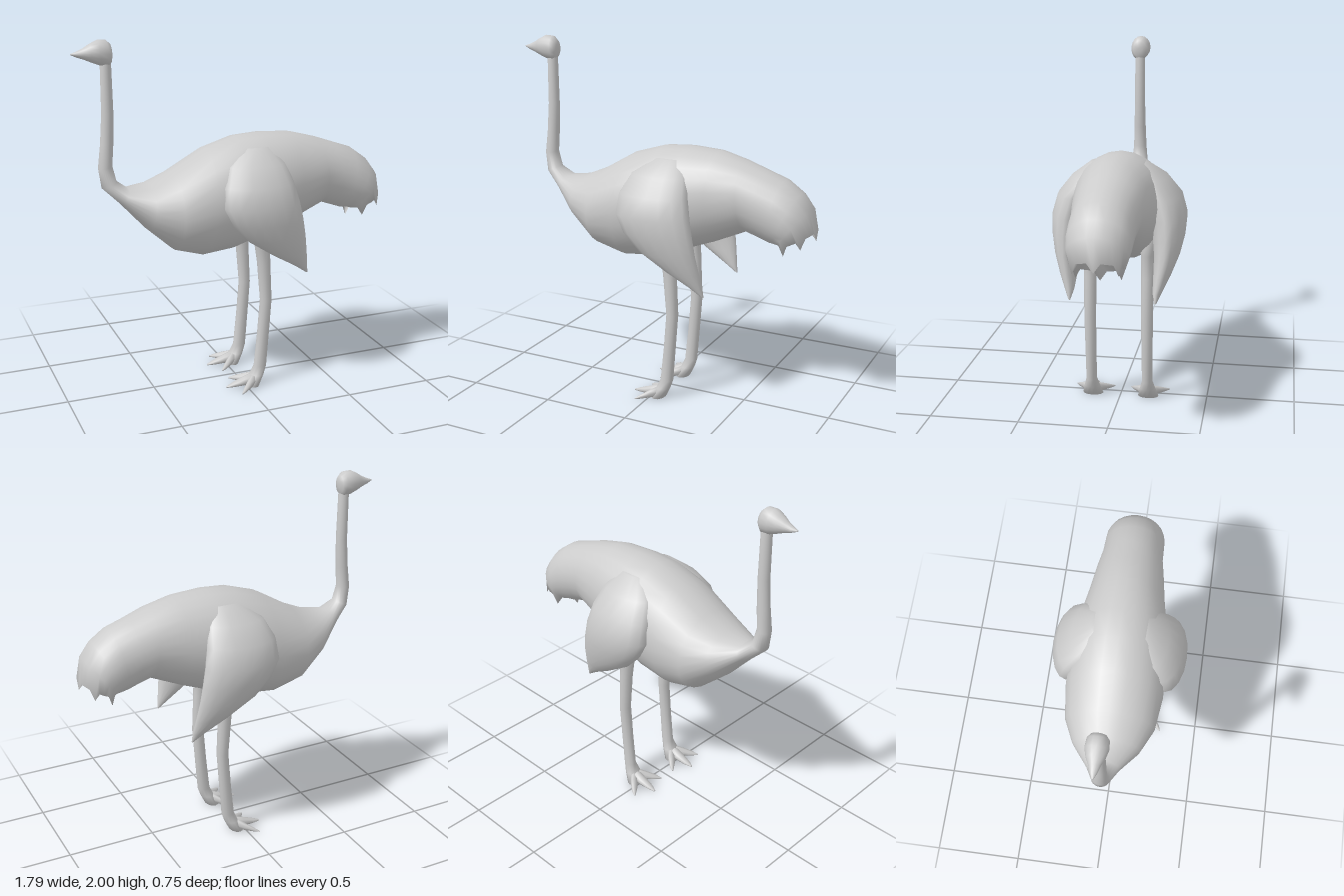
import * as THREE from 'three';

const material = new THREE.MeshStandardMaterial({ color: 0xcccccc, side: THREE.DoubleSide });

// Skin over oval rings. Each ring: [ax, ay, bx, by, halfWidthZ, centreZ, jagY],
// where a and b are opposite ends of the oval in the side plane.
function loft(name, rings, n = 16) {
  const pos = [], index = [];
  const centre = ([ax, ay, bx, by, , z = 0]) => [(ax + bx) / 2, (ay + by) / 2, z];
  for (const ring of rings) {
    const [ax, ay, bx, by, w, , jag = 0] = ring;
    const [cx, cy, cz] = centre(ring);
    for (let k = 0; k < n; k++) {
      const t = (k / n) * Math.PI * 2, c = Math.cos(t) / 2;
      pos.push(cx + c * (ax - bx), cy + c * (ay - by) + (k % 4 === 0 ? jag : 0), cz + Math.sin(t) * w);
    }
  }
  const last = rings.length - 1, start = rings.length * n, end = start + 1;
  pos.push(...centre(rings[0]), ...centre(rings[last]));
  for (let k = 0; k < n; k++) {
    const m = (k + 1) % n;
    index.push(start, m, k, end, last * n + k, last * n + m);
    for (let r = 0; r < last; r++) {
      const a = r * n + k, b = r * n + m;
      index.push(a, b, a + n, b, b + n, a + n);
    }
  }
  // Turn the faces outward whichever way the rings run
  let volume = 0;
  const p = (i) => new THREE.Vector3().fromArray(pos, i * 3);
  for (let i = 0; i < index.length; i += 3) {
    volume += p(index[i]).dot(p(index[i + 1]).cross(p(index[i + 2])));
  }
  if (volume < 0) index.reverse();
  const geometry = new THREE.BufferGeometry();
  geometry.setAttribute('position', new THREE.Float32BufferAttribute(pos, 3));
  geometry.setIndex(index);
  geometry.computeVertexNormals();
  const mesh = new THREE.Mesh(geometry, material);
  mesh.name = name;
  return mesh;
}

// One wing: horizontal slices given as [y, leading x, trailing x, inner z, outer z]
function makeWing(side) {
  const slices = [
    [1.39, 0.0, 0.16, 0.06, 0.16],
    [1.31, -0.11, 0.22, 0.1, 0.265],
    [1.21, -0.155, 0.25, 0.14, 0.345],
    [1.1, -0.165, 0.275, 0.17, 0.375],
    [1.0, -0.115, 0.295, 0.19, 0.368],
    [0.9, -0.02, 0.312, 0.205, 0.345],
    [0.8, 0.13, 0.328, 0.21, 0.305],
    [0.72, 0.265, 0.34, 0.215, 0.265],
    [0.67, 0.338, 0.346, 0.23, 0.24],
  ];
  return loft('wing', slices.map(([y, lead, trail, inner, outer]) =>
    [lead, y, trail, y, (outer - inner) / 2, side * (inner + outer) / 2]));
}

// One leg with its foot and three spread toes
function makeLeg(side) {
  const group = new THREE.Group();
  group.name = 'leg';
  const z = 0.162 * side;
  group.add(loft('shank', [
    [0.02, 1.0, 0.17, 1.0, 0.06, z],
    [0.05, 0.87, 0.143, 0.87, 0.04, z],
    [0.07, 0.74, 0.147, 0.74, 0.036, z],
    [0.09, 0.51, 0.157, 0.51, 0.034, z],
    [0.073, 0.3, 0.142, 0.3, 0.032, z],
    [0.053, 0.11, 0.128, 0.11, 0.031, z],
    [0.03, 0.06, 0.11, 0.06, 0.045, z],
    [0.0, 0.0, 0.08, 0.0, 0.06, z],
  ], 12));
  for (const [tipX, spread] of [[-0.115, 0], [-0.06, 0.11], [-0.06, -0.11]]) {
    const toe = [[0, 0.075, 0.034], [0.4, 0.05, 0.03], [0.75, 0.026, 0.022], [1, 0.008, 0.006]];
    group.add(loft('toe', toe.map(([t, h, w]) => {
      const x = THREE.MathUtils.lerp(0.06, tipX, t);
      return [x, h, x, 0, w, z + spread * t];
    }), 8));
  }
  return group;
}

export function createModel() {
  const model = new THREE.Group();
  model.name = 'bird';

  // Neck, trunk and drooping tail in one skin, ending in a ragged hollow rim
  model.add(loft('body', [
    [-0.69, 1.9, -0.748, 1.9, 0.03],
    [-0.686, 1.61, -0.75, 1.61, 0.031],
    [-0.692, 1.45, -0.762, 1.45, 0.035],
    [-0.702, 1.33, -0.778, 1.32, 0.039],
    [-0.682, 1.245, -0.762, 1.21, 0.05],
    [-0.62, 1.2, -0.67, 1.12, 0.09],
    [-0.5, 1.215, -0.53, 0.965, 0.185],
    [-0.37, 1.27, -0.38, 0.83, 0.247],
    [-0.18, 1.38, -0.22, 0.782, 0.27],
    [0, 1.435, -0.04, 0.8, 0.272],
    [0.15, 1.445, 0.12, 0.85, 0.255],
    [0.33, 1.435, 0.32, 0.925, 0.215],
    [0.48, 1.395, 0.51, 1.01, 0.187],
    [0.6, 1.353, 0.58, 0.985, 0.172],
    [0.71, 1.315, 0.635, 0.965, 0.17],
    [0.8, 1.25, 0.67, 0.96, 0.168],
    [0.86, 1.17, 0.69, 0.96, 0.16],
    [0.888, 1.05, 0.7, 0.955, 0.135, 0, -0.05],
    [0.84, 1.08, 0.72, 1.01, 0.09],
  ], 24));

  // Skull tapering into the beak
  model.add(loft('head', [
    [-0.685, 1.95, -0.685, 1.91, 0.018],
    [-0.692, 1.975, -0.69, 1.875, 0.04],
    [-0.715, 1.996, -0.705, 1.858, 0.054],
    [-0.76, 1.998, -0.75, 1.865, 0.058],
    [-0.8, 1.978, -0.8, 1.885, 0.046],
    [-0.835, 1.957, -0.835, 1.9, 0.029],
    [-0.87, 1.942, -0.87, 1.912, 0.018],
    [-0.9, 1.932, -0.9, 1.926, 0.004],
  ]));

  for (const side of [1, -1]) {
    model.add(makeWing(side), makeLeg(side));
  }
  return model;
}
